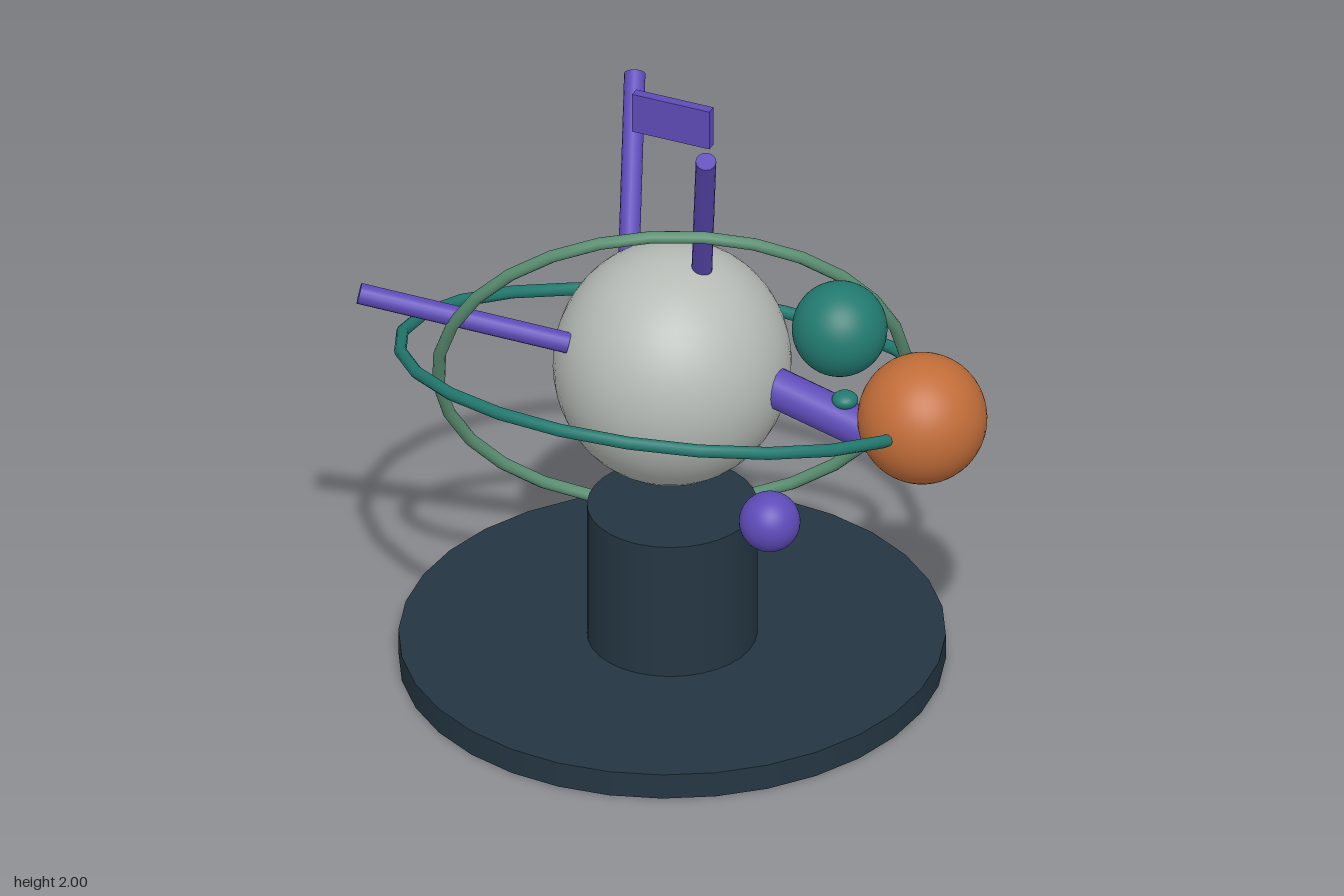
import * as THREE from 'three';

const paint = (name, color) => {
  const m = new THREE.MeshStandardMaterial({ color });
  m.name = name;
  return m;
};

export function createModel() {
  const model = new THREE.Group();
  model.name = 'orbitalSculpture';
  const navy = paint('darkNavy', 0x243642);
  const grey = paint('paleGrey', 0xb6bbb6);
  const purple = paint('purple', 0x5e4bb8);
  const teal = paint('teal', 0x227a70);
  const green = paint('sageGreen', 0x5b9073);
  const orange = paint('orange', 0xc26d39);
  const CX = -0.09; // axis of the pedestal and main globe

  const add = (name, geometry, material, x, y, z) => {
    const mesh = new THREE.Mesh(geometry, material);
    mesh.name = name;
    mesh.position.set(x, y, z);
    model.add(mesh);
    return mesh;
  };

  // Ball, optionally slightly flattened along each axis
  const ball = (name, material, p, rx, ry = rx, rz = rx) =>
    add(name, new THREE.SphereGeometry(1, 40, 28).scale(rx, ry, rz), material, ...p);

  // Straight round bar between two points
  const rod = (name, a, b, radius) => {
    const from = new THREE.Vector3(...a);
    const dir = new THREE.Vector3(...b).sub(from);
    const mid = from.clone().addScaledVector(dir, 0.5);
    const mesh = add(name, new THREE.CylinderGeometry(radius, radius, dir.length(), 16),
      purple, mid.x, mid.y, mid.z);
    mesh.quaternion.setFromUnitVectors(new THREE.Vector3(0, 1, 0), dir.normalize());
    return mesh;
  };

  // Base disc and pedestal
  add('baseDisc', new THREE.CylinderGeometry(0.863, 0.863, 0.085, 32).scale(0.977, 1, 1),
    navy, CX, 0.0425, 0);
  add('pedestal', new THREE.CylinderGeometry(0.27, 0.27, 0.465, 32).scale(0.972, 1, 1),
    navy, CX, 0.3175, 0);

  // Globe and satellites
  ball('globe', grey, [CX, 1.057, 0], 0.368, 0.386, 0.378);
  ball('orangeSatellite', orange, [0.757, 1.063, 0], 0.201, 0.206, 0.203);
  ball('tealSatellite', teal, [0.598, 1.495, 0.27], 0.148, 0.15, 0.148);
  ball('purpleSatellite', purple, [0.463, 0.892, 0.498], 0.095);
  ball('armStud', teal, [0.495, 1.066, 0], 0.041, 0.027, 0.04);

  // Orbit rings
  const tealRing = add('tiltedTealRing', new THREE.TorusGeometry(0.89, 0.02, 10, 24),
    teal, CX, 1.025, 0);
  tealRing.scale.x = 0.947;
  tealRing.rotation.x = Math.PI / 2 - 0.29;

  const greenRing = add('steepGreenRing', new THREE.TorusGeometry(0.725, 0.02, 10, 28),
    green, CX, 1.03, 0);
  greenRing.quaternion.setFromUnitVectors(new THREE.Vector3(0, 0, 1),
    new THREE.Vector3(0.38, -0.413, 0.826).normalize());

  // Arm to the orange satellite, and the spikes on the globe
  rod('satelliteArm', [0.18, 1.073, 0], [0.62, 0.96, 0], 0.064);
  rod('topSpike', [0.008, 1.4, -0.005], [0.143, 1.983, 0.265], 0.032);
  rod('frontSpike', [-0.335, 1.195, 0.235], [-0.945, 1.347, 0.458], 0.033);
  rod('backSpike', [-0.345, 1.185, -0.24], [-0.543, 1.587, -0.73], 0.033);

  // Floating plate above the globe
  add('floatingPlate', new THREE.BoxGeometry(0.262, 0.134, 0.032), purple, -0.088, 1.933, 0);

  return model;
}
